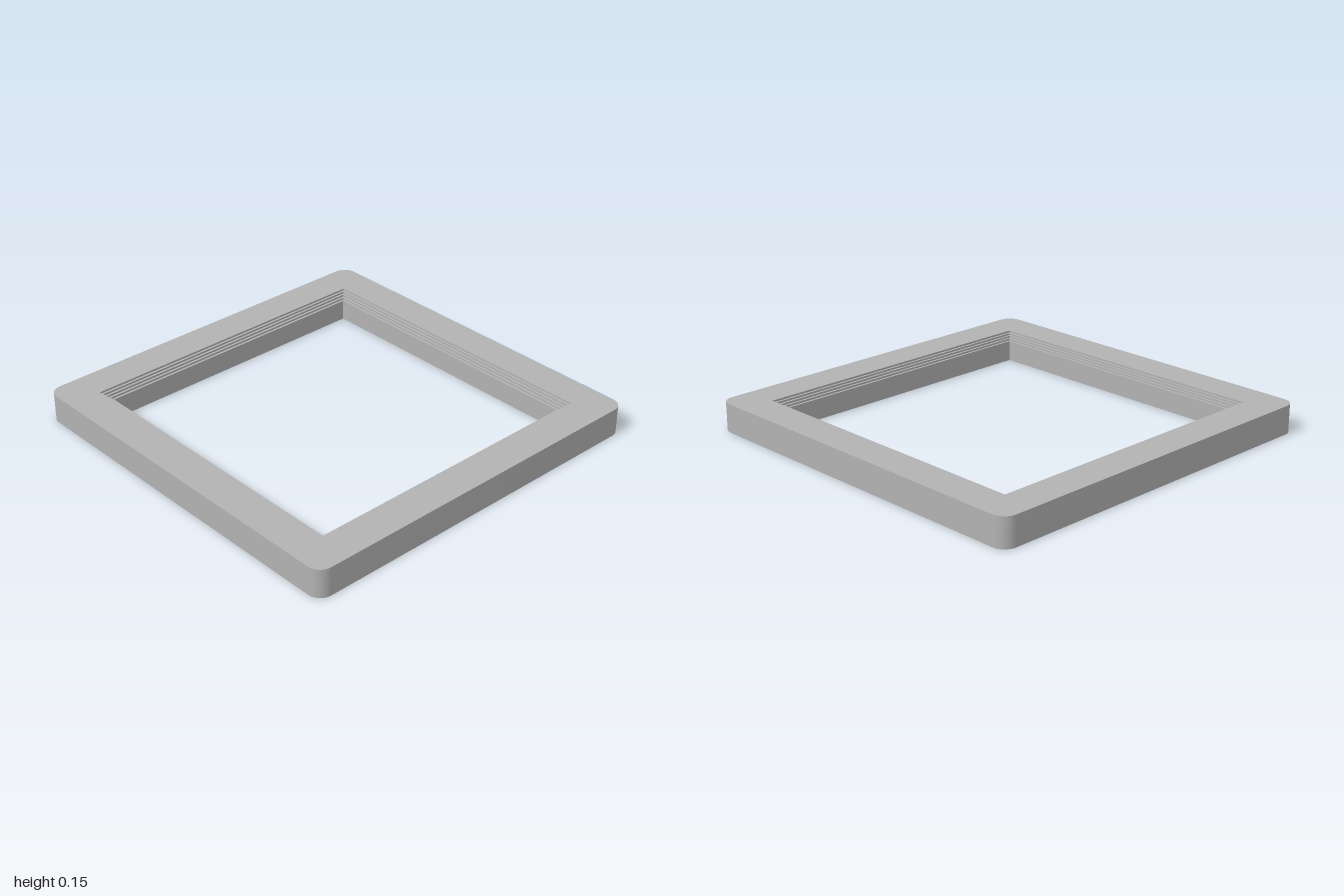
import * as THREE from 'three';
import { toCreasedNormals } from 'three/addons/utils/BufferGeometryUtils.js';

const HEIGHT = 0.15;
const CHANNEL = 0.045; // depth of the groove underneath

// Square outline, counter-clockwise, with optional rounded corners
function outline(half, radius = 0, segments = 10) {
  const points = [];
  for (let corner = 0; corner < 4; corner++) {
    const start = corner * Math.PI / 2;
    const mid = start + Math.PI / 4;
    const cx = Math.sign(Math.cos(mid)) * (half - radius);
    const cy = Math.sign(Math.sin(mid)) * (half - radius);
    const count = radius > 0 ? segments : 0;
    for (let i = 0; i <= count; i++) {
      const a = start + (count ? i / count : 0) * Math.PI / 2;
      points.push(new THREE.Vector2(cx + radius * Math.cos(a), cy + radius * Math.sin(a)));
    }
  }
  return points;
}

export function createModel() {
  const group = new THREE.Group();
  const grey = new THREE.MeshStandardMaterial({ color: 0xb2b2b2 });
  grey.name = 'plain grey';

  function add(name, geometry) {
    const mesh = new THREE.Mesh(geometry, grey);
    mesh.name = name;
    group.add(mesh);
    return mesh;
  }

  // Horizontal ring between two outlines, facing up or down
  function ring(name, outer, inner, y, up) {
    const shape = new THREE.Shape(outer);
    shape.holes.push(new THREE.Path(inner));
    const geometry = new THREE.ShapeGeometry(shape);
    geometry.rotateX(up ? -Math.PI / 2 : Math.PI / 2);
    geometry.translate(0, y, 0);
    add(name, geometry);
  }

  // Vertical wall along an outline, facing outward or inward
  function wall(name, points, y0, y1, outward) {
    const path = outward ? points : [...points].reverse();
    const positions = [], index = [], n = path.length;
    path.forEach((p, i) => {
      positions.push(p.x, y0, -p.y, p.x, y1, -p.y);
      const a = i * 2, b = ((i + 1) % n) * 2;
      index.push(a, b, b + 1, a, b + 1, a + 1);
    });
    const geometry = new THREE.BufferGeometry();
    geometry.setAttribute('position', new THREE.Float32BufferAttribute(positions, 3));
    geometry.setIndex(index);
    add(name, toCreasedNormals(geometry, 0.6));
  }

  // Outer body
  const outer = outline(1, 0.07);
  const steps = [0.818, 0.806, 0.794, 0.782, 0.77];
  const opening = outline(steps[steps.length - 1]);
  wall('outerWall', outer, 0, HEIGHT, true);
  ring('topFace', outer, outline(steps[0]), HEIGHT, true);

  // Stepped lip leading down into the opening
  steps.forEach((half, i) => {
    const last = i === steps.length - 1;
    const top = HEIGHT - i * 0.01;
    wall(last ? 'openingWall' : 'stepRiser', outline(half), last ? 0 : top - 0.01, top, false);
    if (!last) ring('stepTread', outline(half), outline(steps[i + 1]), top - 0.01, true);
  });

  // Underside: two rims with a groove between them
  const grooveOuter = outline(0.95), grooveInner = outline(0.84);
  ring('outerRim', outer, grooveOuter, 0, false);
  wall('grooveOuterWall', grooveOuter, 0, CHANNEL, false);
  ring('grooveCeiling', grooveOuter, grooveInner, CHANNEL, false);
  wall('grooveInnerWall', grooveInner, 0, CHANNEL, true);
  ring('innerRim', grooveInner, opening, 0, false);

  // Small ribs along the inner wall of the groove
  const ribGeometry = new THREE.BoxGeometry(0.008, CHANNEL, 0.008);
  for (let side = 0; side < 4; side++) {
    const ribs = new THREE.Group();
    ribs.name = 'grooveRibs';
    ribs.rotation.y = side * Math.PI / 2;
    for (let i = 0; i < 8; i++) {
      const rib = new THREE.Mesh(ribGeometry, grey);
      rib.name = 'rib';
      rib.position.set(-0.7 + i * 0.2, CHANNEL / 2, 0.843);
      ribs.add(rib);
    }
    group.add(ribs);
  }
  return group;
}
